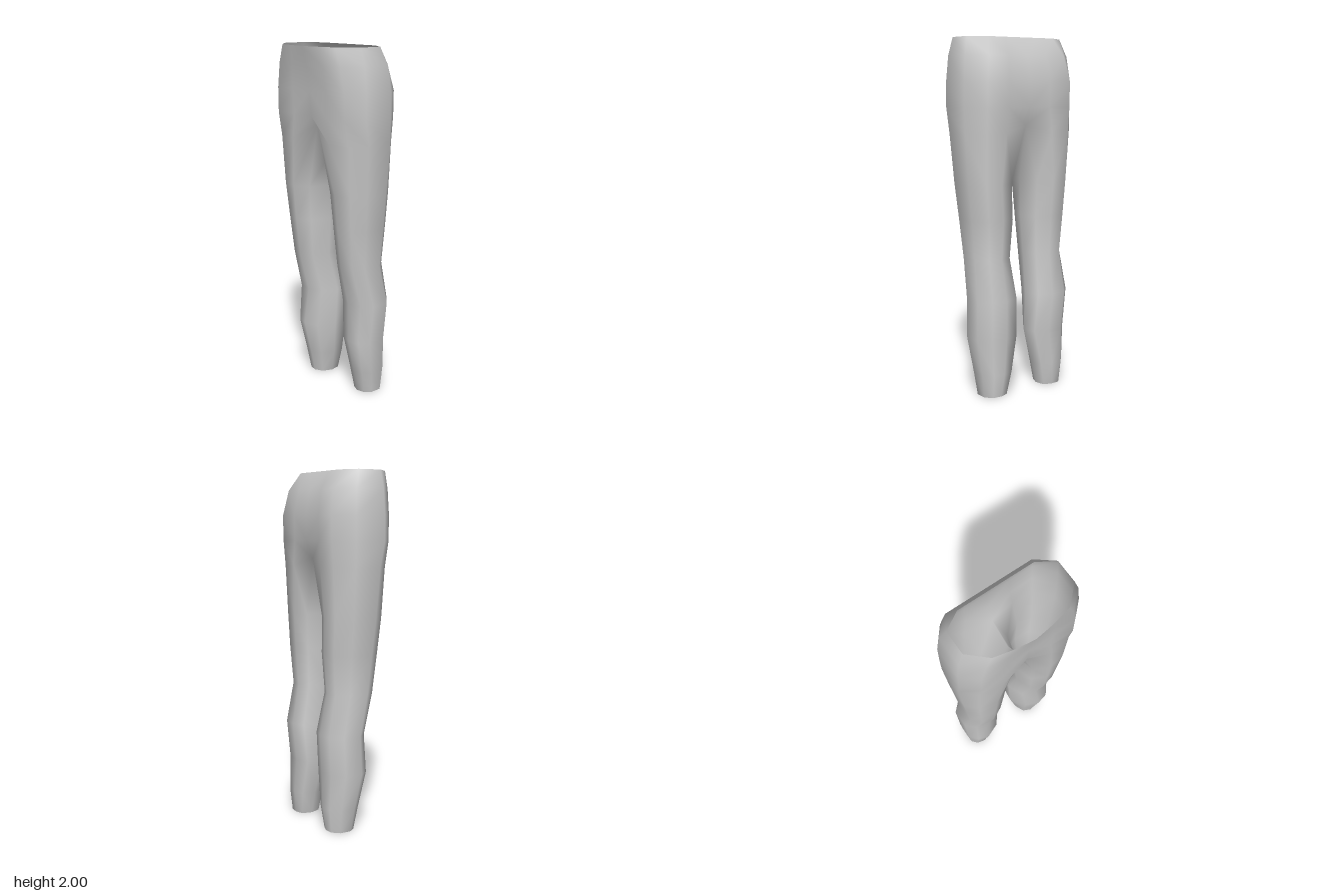
import * as THREE from 'three';
import { mergeVertices } from 'three/addons/utils/BufferGeometryUtils.js';

// Hip rows: height, half width, centre front z, corner front z, back z, corner position across the width
const HIPS = [
  [2.00, .32, .21, .17, -.12, .69],
  [1.90, .35, .185, .165, -.18, .73],
  [1.76, .365, .162, .158, -.205, .77],
  [1.62, .366, .148, .156, -.203, .77],
];
// Leg rows: height, inner x, outer x, back z, front z, how far the inner front corner is cut away
const LEGS = [
  [1.48, 0, .363, -.203, .155, 0],
  [1.20, .058, .34, -.19, .135, 0],
  [1.00, .051, .32, -.186, .115, .1],
  [0.78, .068, .3, -.17, .09, .1],
  [0.55, .047, .315, -.212, .03, .1],
  [0.33, .035, .306, -.195, .045, .3],
  [0.13, .085, .285, -.2, -.002, .2],
  [0.00, .117, .27, -.185, -.03, .12],
];
// Leg cross-section in a unit square: inner to outer, back to front
const LEG_SECTION = [
  [.11, .86], [.43, 1], [.79, .93], [1, .71], [1, .28], [.77, .03], [.43, 0], [.11, .11], [0, .49],
];
// Heights of the crotch seam at the front, back and lowest point of the section
const CROTCH_Y = { 0: 1.57, 7: 1.52, 8: 1.44 };

// Half ring from centre front around the side to centre back
function hipArc([y, width, centre, front, back, corner]) {
  return [
    [0, y, centre],
    [width * corner / 2, y, (centre + front) / 2 + .005],
    [width * corner, y, front],
    [width, y, .077],
    [width, y, back / 2],
    [width * corner, y, back],
    [width * corner / 2, y, back],
    [0, y, back],
  ];
}

// Closed ring around one leg; the first one meets the centre line at the crotch
function legRing([y, inner, outer, back, front, cut], row) {
  return LEG_SECTION.map(([u, v], j) => {
    const z = back + (front - back) * v;
    if (row === 0 && j in CROTCH_Y) return [0, CROTCH_Y[j], z];
    const across = u + cut * (1 - u) * v * v;
    return [inner + (outer - inner) * across, y, z];
  });
}

function createTrouserGeometry() {
  const rows = [...HIPS.map(hipArc), ...LEGS.map(legRing)];
  const positions = [];
  const triangle = (side, a, b, c) => {
    const order = side > 0 ? [a, b, c] : [a, c, b];
    for (const [x, y, z] of order) positions.push(x * side, y, z);
  };
  // Skin both mirrored halves between neighbouring rows
  for (const side of [1, -1]) {
    for (let i = 0; i < rows.length - 1; i++) {
      const top = rows[i], bottom = rows[i + 1];
      const count = top.length === 9 ? 9 : 7;
      for (let j = 0; j < count; j++) {
        const k = (j + 1) % 9;
        triangle(side, top[j], bottom[j], bottom[k]);
        triangle(side, top[j], bottom[k], top[k]);
      }
    }
  }
  const geometry = new THREE.BufferGeometry();
  geometry.setAttribute('position', new THREE.Float32BufferAttribute(positions, 3));
  // Weld the halves so the shading runs smoothly across the centre
  const welded = mergeVertices(geometry, 1e-4);
  welded.computeVertexNormals();
  return welded;
}

export function createModel() {
  const model = new THREE.Group();
  model.name = 'trousers';
  // Open cloth shell with a waist opening and two hems
  const cloth = new THREE.Mesh(
    createTrouserGeometry(),
    new THREE.MeshStandardMaterial({ color: 0xcccccc, side: THREE.DoubleSide }),
  );
  cloth.name = 'trouserCloth';
  model.add(cloth);
  return model;
}
